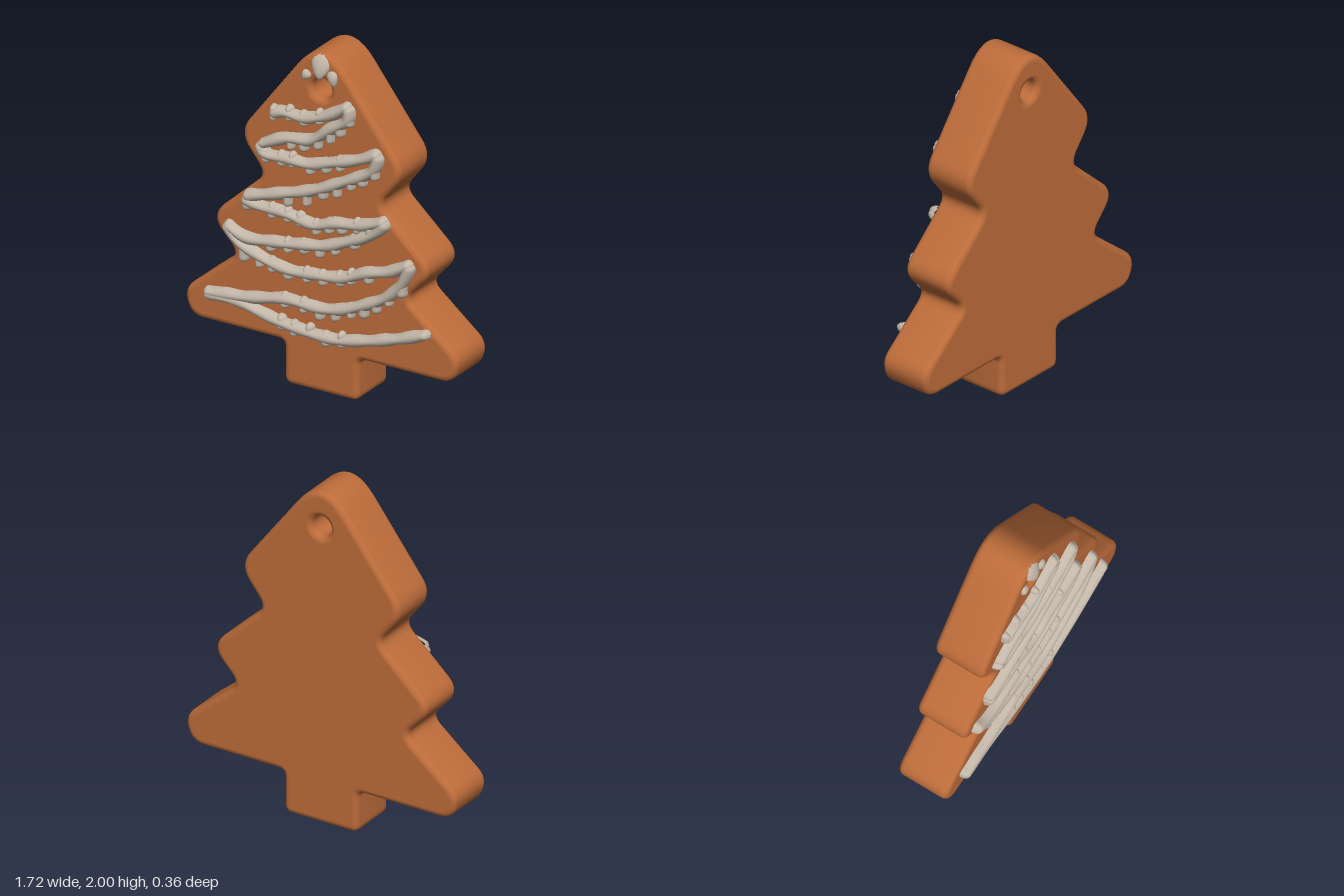
import * as THREE from 'three';
import { mergeGeometries, toCreasedNormals } from 'three/addons/utils/BufferGeometryUtils.js';

const FRONT = 0.13, BACK = -0.18;

// Polygon [x, y, corner length] with rounded corners
function roundedShape(corners) {
  const shape = new THREE.Shape();
  const n = corners.length;
  corners.forEach(([x, y, t], i) => {
    const p = new THREE.Vector2(x, y);
    const toward = (c) => new THREE.Vector2(c[0], c[1]).sub(p).setLength(t).add(p);
    const a = toward(corners[(i + n - 1) % n]);
    const b = toward(corners[(i + 1) % n]);
    if (i === 0) shape.moveTo(a.x, a.y);
    else shape.lineTo(a.x, a.y);
    shape.quadraticCurveTo(x, y, b.x, b.y);
  });
  shape.closePath();
  return shape;
}

// Domed line of icing lying on the front face, with round ends
function icingStroke(points, radius, height, steps, wobble = 0) {
  const curve = new THREE.CatmullRomCurve3(points.map(([x, y]) => new THREE.Vector3(x, y, 0)), false, 'centripetal');
  const length = curve.getLength(), around = 10;
  const pos = [], index = [];
  for (let i = 0; i <= steps; i++) {
    // samples gather toward the ends so that they round off well
    const u = i / steps, k = u - 0.7 * Math.sin(2 * Math.PI * u) / (2 * Math.PI);
    const p = curve.getPointAt(k), t = curve.getTangentAt(k);
    const s = Math.min(k, 1 - k) * length;
    const cap = s < radius ? Math.sqrt(Math.max(0, 1 - (1 - s / radius) ** 2)) : 1;
    const r = radius * cap * (1 + wobble * Math.sin(k * length * 34));
    for (let j = 0; j <= around; j++) {
      const a = (j / around) * Math.PI, c = Math.cos(a) * r;
      pos.push(p.x - t.y * c, p.y + t.x * c, FRONT - 0.005 + Math.sin(a) * (height + 0.005) * cap);
    }
  }
  const row = around + 1;
  for (let i = 0; i < steps; i++) {
    for (let j = 0; j < around; j++) {
      const a = i * row + j, b = a + row;
      index.push(a, a + 1, b, a + 1, b + 1, b);
    }
  }
  const g = new THREE.BufferGeometry();
  g.setAttribute('position', new THREE.Float32BufferAttribute(pos, 3));
  g.setIndex(index);
  g.computeVertexNormals();
  return g;
}

// Zigzag rows of icing, each running from tip to tip
const rows = [
  [[-0.31, 1.58], [-0.22, 1.61], [-0.1, 1.605], [0.02, 1.64], [0.1, 1.68], [0.2, 1.75]],
  [[0.185, 1.75], [0.18, 1.66], [0.06, 1.57], [-0.05, 1.485], [-0.2, 1.46], [-0.38, 1.38]],
  [[-0.38, 1.4], [-0.35, 1.34], [-0.2, 1.34], [-0.06, 1.34], [0.1, 1.39], [0.25, 1.44], [0.39, 1.51]],
  [[0.38, 1.51], [0.34, 1.4], [0.17, 1.295], [-0.04, 1.19], [-0.25, 1.12], [-0.48, 1.05]],
  [[-0.49, 1.04], [-0.4, 1.02], [-0.2, 1.015], [-0.03, 0.99], [0.1, 1.03], [0.27, 1.06], [0.43, 1.12]],
  [[0.43, 1.12], [0.35, 1.03], [0.2, 0.95], [0.05, 0.885], [-0.1, 0.855], [-0.3, 0.825], [-0.47, 0.81], [-0.6, 0.87]],
  [[-0.6, 0.87], [-0.5, 0.77], [-0.35, 0.715], [-0.2, 0.685], [0, 0.7], [0.15, 0.72], [0.3, 0.785], [0.45, 0.83], [0.59, 0.91]],
  [[0.58, 0.91], [0.52, 0.77], [0.41, 0.66], [0.28, 0.59], [0.14, 0.53], [0, 0.505], [-0.2, 0.51], [-0.42, 0.465], [-0.73, 0.43]],
  [[-0.73, 0.42], [-0.5, 0.42], [-0.3, 0.375], [-0.1, 0.35], [0.1, 0.345], [0.3, 0.385], [0.5, 0.445], [0.7, 0.52]],
];

// Drips [x, y of the lowest point]
const drips = [
  [-0.29, 1.54], [-0.19, 1.56], [-0.1, 1.55], [0.0, 1.585],
  [0.19, 1.615], [0.13, 1.54], [0.07, 1.49], [-0.01, 1.435], [-0.1, 1.4], [-0.18, 1.395],
  [-0.34, 1.28], [-0.24, 1.28], [-0.17, 1.29], [-0.06, 1.275], [0.04, 1.305], [0.13, 1.34],
  [0.35, 1.34], [0.27, 1.28], [0.2, 1.245], [0.11, 1.18], [0.02, 1.145], [-0.08, 1.085], [-0.2, 1.055],
  [-0.46, 0.97], [-0.3, 0.96], [-0.2, 0.96], [-0.12, 0.95], [-0.02, 0.93], [0.06, 0.955], [0.14, 0.97], [0.24, 1.0],
  [0.32, 0.975], [0.22, 0.9], [0.1, 0.84], [0.0, 0.8], [-0.1, 0.795], [-0.2, 0.78], [-0.31, 0.76],
  [-0.48, 0.66], [-0.38, 0.65], [-0.3, 0.64], [-0.2, 0.62], [-0.08, 0.635], [0.02, 0.64], [0.13, 0.66], [0.2, 0.69], [0.31, 0.72],
  [0.52, 0.69], [0.44, 0.62], [0.36, 0.56], [0.28, 0.51], [0.2, 0.49], [0.1, 0.45], [0.0, 0.43], [-0.1, 0.45], [-0.22, 0.45],
  [-0.24, 0.315], [-0.16, 0.3], [-0.06, 0.305], [0.04, 0.285], [0.14, 0.305],
];

export function createModel() {
  const group = new THREE.Group();
  const gingerbread = new THREE.MeshStandardMaterial({ color: 0xbd6c3a });
  gingerbread.name = 'gingerbread';
  const icing = new THREE.MeshStandardMaterial({ color: 0xc2b6a8 });
  icing.name = 'icing';
  const add = (name, geometry, material) => {
    const mesh = new THREE.Mesh(geometry, material);
    mesh.name = name;
    group.add(mesh);
    return mesh;
  };

  // Tree-shaped biscuit: mirrored outline, hanging hole, soft edges
  const half = [
    [0.235, 0, 0.05], [0.235, 0.25, 0.04], [0.83, 0.25, 0.08], [0.878, 0.4, 0.075],
    [0.53, 0.685, 0.07], [0.71, 0.875, 0.11], [0.36, 1.195, 0.07], [0.53, 1.41, 0.11],
  ];
  const mirrored = half.map(([x, y, t]) => [-x, y, t]).reverse();
  const outline = roundedShape([...half, [0, 2.107, 0.268], ...mirrored]);
  const hole = new THREE.Path();
  hole.absarc(0, 1.79, 0.06, 0, Math.PI * 2, true);
  outline.holes.push(hole);
  const bevel = 0.035;
  let body = new THREE.ExtrudeGeometry(outline, {
    depth: FRONT - BACK - 2 * bevel, curveSegments: 10,
    bevelThickness: bevel, bevelSize: bevel, bevelOffset: -bevel, bevelSegments: 5,
  });
  body.translate(0, 0, BACK + bevel);
  body = toCreasedNormals(body, 0.9);
  // flat front and back keep straight normals
  const p = body.attributes.position, nrm = body.attributes.normal;
  for (let i = 0; i < p.count; i += 3) {
    const z = p.getZ(i);
    if (Math.abs(z - p.getZ(i + 1)) + Math.abs(z - p.getZ(i + 2)) > 1e-5) continue;
    for (let k = 0; k < 3; k++) nrm.setXYZ(i + k, 0, 0, z > 0 ? 1 : -1);
  }
  add('biscuit', body, gingerbread);

  // Piped zigzag and its drips
  add('icingZigzag', mergeGeometries(rows.map((r) => icingStroke(r, 0.034, 0.05, 70, 0.1))), icing);
  add('icingDrips', mergeGeometries(drips.map(([x, y], i) =>
    icingStroke([[x + 0.005, y + 0.1], [x, y + 0.05], [x, y]], 0.023 + 0.004 * (i % 3), 0.042, 16))), icing);

  // Three drops of icing at the top, wider above than below
  const drop = new THREE.SphereGeometry(1, 24, 16);
  const dp = drop.attributes.position;
  for (let i = 0; i < dp.count; i++) dp.setX(i, dp.getX(i) * (1 + 0.4 * dp.getY(i)));
  drop.computeVertexNormals();
  const drops = [
    ['topDrop', 0, 1.927, 0.124, 0.058, 0.074, 0.03, -0.35, 0],
    ['leftDrop', 0.08, 1.872, 0.133, 0.03, 0.045, 0.024, 0, 0.25],
    ['rightDrop', -0.09, 1.857, 0.133, 0.026, 0.032, 0.022, 0, -0.6],
  ];
  for (const [name, x, y, z, sx, sy, sz, rx, rz] of drops) {
    const mesh = add(name, drop, icing);
    mesh.position.set(x, y, z);
    mesh.scale.set(sx, sy, sz);
    mesh.rotation.set(rx, 0, rz);
  }
  return group;
}
